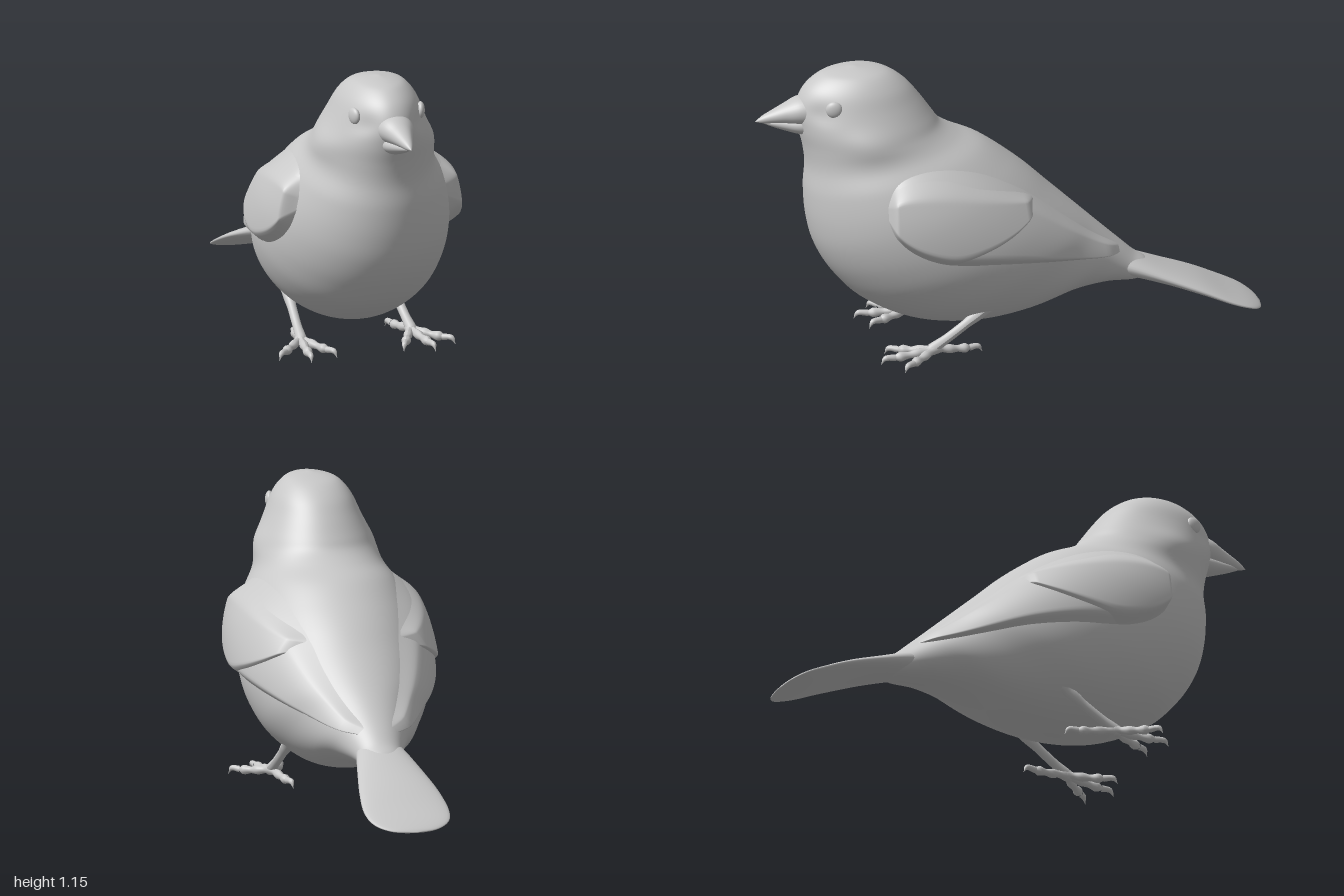
import * as THREE from 'three';
import { mergeVertices } from 'three/addons/utils/BufferGeometryUtils.js';

const plumage = new THREE.MeshStandardMaterial({ color: 0xc8c8c8 });
plumage.name = 'plumage grey';

const smooth = (t) => THREE.MathUtils.smoothstep(t, 0, 1);
const gauss = (z, y, z0, y0, sz, sy) => Math.exp(-(((z - z0) / sz) ** 2) - ((y - y0) / sy) ** 2);
const curve = (pts) => new THREE.CatmullRomCurve3(pts.map((p) => new THREE.Vector3(...p)), false, 'catmullrom', 0.5);

// Smooth surface from a rule fn(u, v) -> [x, y, z]; seams and poles are welded
function surface(fn, nu, nv) {
  const pos = [], index = [];
  for (let i = 0; i <= nu; i++) for (let j = 0; j <= nv; j++) pos.push(...fn(i / nu, j / nv));
  for (let i = 0; i < nu; i++) for (let j = 0; j < nv; j++) {
    const a = i * (nv + 1) + j, b = a + nv + 1;
    index.push(a, b, a + 1, b, b + 1, a + 1);
  }
  let g = new THREE.BufferGeometry();
  g.setAttribute('position', new THREE.Float32BufferAttribute(pos, 3));
  g.setIndex(index);
  g = mergeVertices(g, 1e-5);
  g.computeVertexNormals();
  return g;
}

// Body sections from crown to rump: back z, back y, front z, front y, half width
const sections = [
  [0.61, 1.157, 0.61, 1.157, 0], [0.52, 1.145, 0.70, 1.145, 0.07], [0.46, 1.125, 0.755, 1.125, 0.11],
  [0.40, 1.08, 0.81, 1.075, 0.148], [0.35, 1.02, 0.84, 1.0, 0.178], [0.30, 0.95, 0.83, 0.92, 0.208],
  [0.265, 0.905, 0.81, 0.84, 0.228], [0.20, 0.865, 0.80, 0.76, 0.25], [0.10, 0.82, 0.805, 0.66, 0.295],
  [0.0, 0.75, 0.795, 0.54, 0.333], [-0.08, 0.685, 0.765, 0.43, 0.352], [-0.16, 0.61, 0.70, 0.32, 0.357],
  [-0.22, 0.555, 0.59, 0.21, 0.345], [-0.28, 0.50, 0.41, 0.12, 0.31], [-0.34, 0.445, 0.20, 0.085, 0.25],
  [-0.40, 0.39, 0.0, 0.105, 0.195], [-0.45, 0.345, -0.20, 0.165, 0.14], [-0.50, 0.30, -0.36, 0.19, 0.10],
  [-0.55, 0.265, -0.50, 0.19, 0.07], [-0.56, 0.225, -0.56, 0.225, 0],
];
const backLine = curve(sections.map((s) => [s[4], s[1], s[0]]));
const frontLine = curve(sections.map((s) => [0, s[3], s[2]]));
// The head narrows towards the face
const taper = (u, f) => 1 + 0.2 * Math.max(0, 1 - u / 0.42) * f;

function bodyPoint(u, v) {
  const D = backLine.getPoint(u), V = frontLine.getPoint(u);
  const a = (v % 1) * Math.PI * 2, f = Math.cos(a), side = Math.sin(a);
  const y = (D.y + V.y) / 2 + (f * (D.y - V.y)) / 2;
  const z = (D.z + V.z) / 2 + (f * (D.z - V.z)) / 2;
  // Cheek pads and the hollows between eye and beak
  const relief = 0.016 * gauss(z, y, 0.6, 0.895, 0.13, 0.06) - 0.018 * gauss(z, y, 0.78, 1.0, 0.06, 0.04);
  return [-side * (Math.max(0, D.x) * taper(u, f) + relief), y, z];
}

// Half width of the body at a place in its side outline
function bodyX(z, y) {
  let lo = 0.02, hi = 0.98, D, V, u;
  for (let i = 0; i < 24; i++) {
    u = (lo + hi) / 2;
    D = backLine.getPoint(u);
    V = frontLine.getPoint(u);
    if ((V.z - D.z) * (y - D.y) - (V.y - D.y) * (z - D.z) < 0) lo = u; else hi = u;
  }
  const len2 = (V.z - D.z) ** 2 + (V.y - D.y) ** 2;
  const t = ((z - D.z) * (V.z - D.z) + (y - D.y) * (V.y - D.y)) / len2;
  const f = THREE.MathUtils.clamp(1 - 2 * t, -1, 1);
  return D.x * Math.sqrt(1 - f * f) * taper(u, f);
}

// Feather layer hugging the body between an upper and a lower edge, given as [z, y]
function featherLayer(top, bottom, frontThick, rearThick, side) {
  const up = curve(top.map(([z, y]) => [0, y, z])), low = curve(bottom.map(([z, y]) => [0, y, z]));
  return surface((s, v) => {
    const w = side < 0 ? v : 1 - v;
    const p = up.getPoint(s).lerp(low.getPoint(s), w);
    const edge = smooth(w / 0.3) * smooth((1 - w) / 0.16) * smooth(s / 0.14) * smooth((1 - s) / 0.08);
    const thick = THREE.MathUtils.lerp(frontThick, rearThick, s);
    return [side * (bodyX(p.z, p.y) - 0.012 + (thick + 0.012) * edge), p.y, p.z];
  }, 64, 36);
}

// Oval loft along z from rows of [z, y, half width, half height]
function ovalLoft(rows) {
  const path = curve(rows.map((r) => [0, r[1], r[0]])), size = curve(rows.map((r) => [r[2], r[3], 0]));
  const dir = Math.sign(rows[rows.length - 1][0] - rows[0][0]);
  return surface((u, v) => {
    const p = path.getPoint(u), s = size.getPoint(u), a = (v % 1) * Math.PI * 2;
    return [-dir * Math.max(0, s.x) * Math.cos(a), p.y + Math.max(0, s.y) * Math.sin(a), p.z];
  }, 40, 32);
}

// Tube whose radius follows a list of values
function taperedTube(points, radii) {
  const n = 28, m = 12, path = curve(points);
  const g = new THREE.TubeGeometry(path, n, 1, m, false);
  const P = g.attributes.position, v = new THREE.Vector3();
  for (let i = 0; i <= n; i++) {
    const c = path.getPointAt(i / n), k = (i / n) * (radii.length - 1), b = Math.min(Math.floor(k), radii.length - 2);
    const r = THREE.MathUtils.lerp(radii[b], radii[b + 1], smooth(k - b));
    for (let j = 0; j <= m; j++) {
      const id = i * (m + 1) + j;
      v.fromBufferAttribute(P, id).sub(c).multiplyScalar(r).add(c);
      P.setXYZ(id, v.x, v.y, v.z);
    }
  }
  g.computeVertexNormals();
  return g;
}

export function createModel() {
  const model = new THREE.Group();
  model.name = 'bird';
  const add = (name, geometry, parent = model) => {
    const mesh = new THREE.Mesh(geometry, plumage);
    mesh.name = name;
    parent.add(mesh);
    return mesh;
  };

  add('body', surface(bodyPoint, 110, 96));

  // Beak
  add('upperBeak', ovalLoft([[0.76, 0.985, 0.08, 0.07], [0.83, 0.988, 0.068, 0.056], [0.88, 0.98, 0.048, 0.041],
    [0.925, 0.971, 0.032, 0.028], [0.97, 0.961, 0.016, 0.015], [1.0, 0.953, 0, 0]]));
  add('lowerBeak', ovalLoft([[0.76, 0.93, 0.065, 0.05], [0.83, 0.931, 0.054, 0.037], [0.88, 0.936, 0.038, 0.026],
    [0.93, 0.943, 0.021, 0.015], [0.975, 0.948, 0, 0]]));

  // Tail
  add('tail', ovalLoft([[-0.40, 0.27, 0.08, 0.05], [-0.50, 0.243, 0.105, 0.045], [-0.62, 0.203, 0.132, 0.036],
    [-0.75, 0.155, 0.158, 0.03], [-0.86, 0.108, 0.169, 0.022], [-0.94, 0.076, 0.15, 0.015],
    [-0.985, 0.056, 0.09, 0.009], [-1.0, 0.05, 0, 0]]));

  for (const [label, side] of [['left', 1], ['right', -1]]) {
    // Eye
    const eye = add(label + 'Eye', new THREE.SphereGeometry(0.033, 24, 16));
    eye.scale.set(0.5, 1, 1);
    eye.position.set(side * (bodyX(0.715, 1.03) - 0.003), 1.03, 0.715);
    eye.rotation.y = -side * 0.25;

    // Wing: long flight feathers with the shoulder coverts over them
    const wing = new THREE.Group();
    wing.name = label + 'Wing';
    model.add(wing);
    add('flightFeathers', featherLayer(
      [[0.545, 0.67], [0.50, 0.77], [0.42, 0.82], [0.30, 0.83], [0.15, 0.79], [-0.02, 0.69], [-0.18, 0.555], [-0.32, 0.435], [-0.46, 0.335]],
      [[0.545, 0.63], [0.50, 0.53], [0.41, 0.455], [0.28, 0.41], [0.12, 0.395], [-0.05, 0.375], [-0.20, 0.35], [-0.33, 0.33], [-0.46, 0.32]],
      0.042, 0.026, side), wing);
    add('shoulderCoverts', featherLayer(
      [[0.545, 0.67], [0.50, 0.765], [0.42, 0.81], [0.30, 0.815], [0.16, 0.765], [0.04, 0.70], [-0.08, 0.625]],
      [[0.545, 0.63], [0.50, 0.53], [0.41, 0.455], [0.28, 0.415], [0.16, 0.45], [0.03, 0.515], [-0.08, 0.60]],
      0.056, 0.046, side), wing);

    // Leg and foot
    const leg = new THREE.Group();
    leg.name = label + 'Leg';
    model.add(leg);
    const limb = (name, pts, radii) =>
      add(name, taperedTube(pts.map(([x, y, z]) => [side * x, y, z]), radii), leg);
    limb('shank', [[0.205, 0.22, 0.09], [0.212, 0.16, 0.17], [0.22, 0.09, 0.27], [0.226, 0.04, 0.35]],
      [0.036, 0.024, 0.018, 0.018, 0.022]);
    const toes = [['innerToe', 0.15, 0.49], ['middleToe', 0.25, 0.525], ['outerToe', 0.34, 0.46], ['hindToe', 0.195, 0.17]];
    for (const [name, x, z] of toes) {
      const hub = [0.225, 0.042, 0.335], dx = x - hub[0], dz = z - hub[2], l = Math.hypot(dx, dz);
      const along = (d, y) => [hub[0] + (dx / l) * d, y, hub[2] + (dz / l) * d];
      limb(name, [hub, along(l * 0.5, 0.03), along(l * 0.93, 0.025)],
        [0.022, 0.014, 0.018, 0.013, 0.019, 0.004]);
      limb(name + 'Claw', [along(l * 0.85, 0.026), along(l + 0.012, 0.027), along(l + 0.03, 0.003)],
        [0.013, 0.011, 0.001]);
    }
    const ankle = add('ankle', new THREE.SphereGeometry(0.023, 16, 12), leg);
    ankle.position.set(side * 0.226, 0.04, 0.345);
  }
  return model;
}
